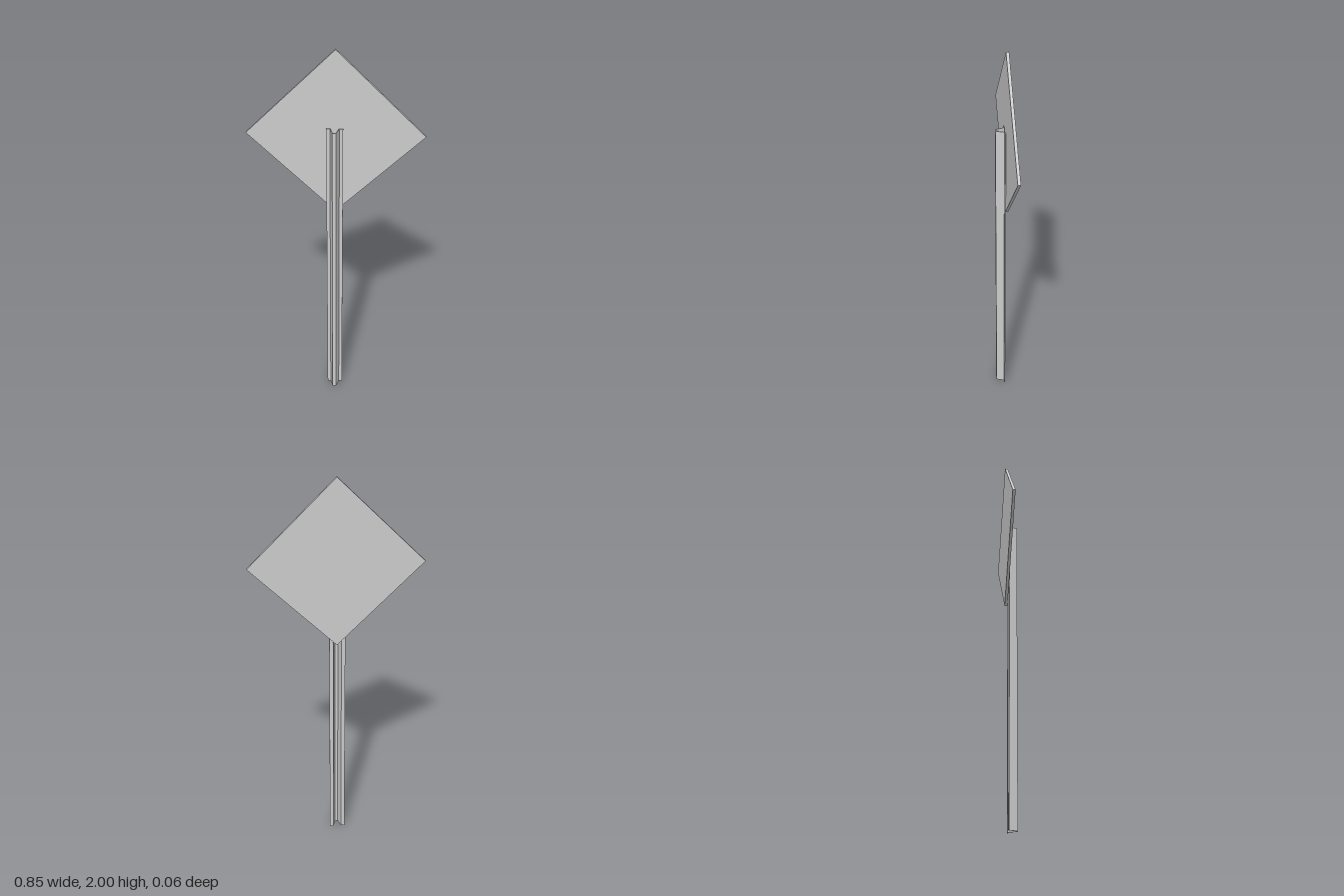
import * as THREE from 'three';

export function createModel() {
  const model = new THREE.Group();
  const material = new THREE.MeshStandardMaterial({ color: 0xcccccc, flatShading: true });

  // Square plate turned onto one corner
  const side = 0.6;
  const plate = new THREE.Mesh(new THREE.BoxGeometry(side, side, 0.014), material);
  plate.name = 'signPlate';
  plate.rotation.z = Math.PI / 4;
  plate.position.set(0, 2 - side * Math.SQRT1_2, -0.0245);
  model.add(plate);

  // Half of the hat-channel section as [x, z]: outer face, then inner face
  const outer = [[0.0095, 0.0315], [0.0225, -0.009], [0.04, -0.009]];
  const inner = [[0.04, -0.014], [0.0205, -0.014], [0.0075, 0.0265]];
  const mirror = (points) => points.map(([x, z]) => [-x, z]).reverse();
  const section = [...outer, ...inner, ...mirror(inner), ...mirror(outer)];
  const shape = new THREE.Shape(section.map(([x, z]) => new THREE.Vector2(x, -z)));

  // Post: the section pulled straight up, slightly off the plate's centre line
  const postGeometry = new THREE.ExtrudeGeometry(shape, { depth: 1.61, bevelEnabled: false });
  postGeometry.rotateX(-Math.PI / 2);
  const post = new THREE.Mesh(postGeometry, material);
  post.name = 'channelPost';
  post.position.x = -0.004;
  model.add(post);

  return model;
}
